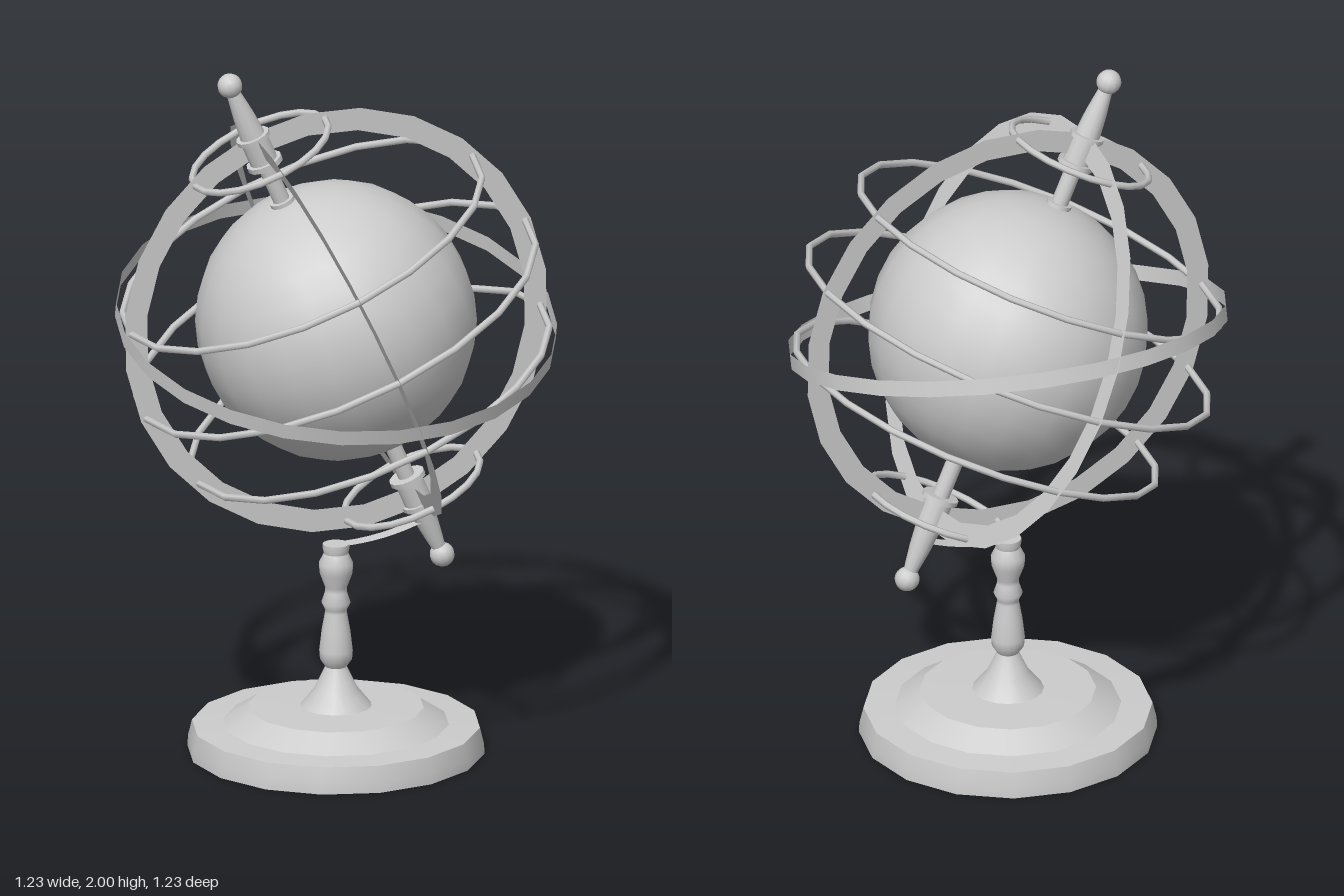
import * as THREE from 'three';

const CENTRE_Y = 1.253;
const TILT = THREE.MathUtils.degToRad(23.4);

export function createModel() {
  const model = new THREE.Group();
  model.name = 'armillaryGlobe';
  const mat = new THREE.MeshStandardMaterial({ color: 0xcccccc, side: THREE.DoubleSide });

  const add = (parent, name, geometry) => {
    const mesh = new THREE.Mesh(geometry, mat);
    mesh.name = name;
    parent.add(mesh);
    return mesh;
  };

  // Turned profile; each run of points is smooth, with a sharp edge between runs
  const turned = (parent, name, runs, sides) => {
    const group = new THREE.Group();
    group.name = name;
    parent.add(group);
    for (const run of runs) {
      const points = run.map(([r, y]) => new THREE.Vector2(r, y));
      add(group, name + 'Section', new THREE.LatheGeometry(points, sides));
    }
    return group;
  };

  // Hollow stepped base
  turned(model, 'base', [
    [[0.415, 0], [0.413, 0.03], [0.402, 0.075]],
    [[0.402, 0.075], [0.315, 0.08]],
    [[0.315, 0.08], [0.245, 0.127]],
    [[0.245, 0.127], [0.1, 0.13]],
  ], 16);

  // Baluster stem
  turned(model, 'stem', [
    [[0.1, 0.13], [0.06, 0.18], [0.03, 0.243]],
    [[0.03, 0.243], [0.045, 0.265], [0.047, 0.29], [0.04, 0.35], [0.031, 0.4], [0.031, 0.41],
      [0.041, 0.43], [0.031, 0.46], [0.031, 0.475], [0.046, 0.515], [0.048, 0.545], [0.034, 0.573]],
    [[0.034, 0.573], [0.037, 0.585], [0.037, 0.6]],
    [[0.037, 0.6], [0, 0.6]],
  ], 16);

  // Everything above the stem shares one centre
  const sphereGroup = new THREE.Group();
  sphereGroup.name = 'rings';
  sphereGroup.position.y = CENTRE_Y;
  model.add(sphereGroup);

  // Curved strap from the stem to the lower end of the axis
  const strap = add(sphereGroup, 'supportStrap',
    new THREE.CylinderGeometry(0.655, 0.655, 0.045, 8, 1, true, 0, TILT));
  strap.rotation.x = Math.PI / 2;

  // Slanted band
  const band = add(sphereGroup, 'slantedBand',
    new THREE.CylinderGeometry(0.615, 0.615, 0.045, 24, 1, true));
  band.rotation.x = THREE.MathUtils.degToRad(15);

  // Tilted globe assembly, with its axis along local y
  const tilted = new THREE.Group();
  tilted.name = 'tiltedGlobe';
  tilted.rotation.z = TILT;
  sphereGroup.add(tilted);

  add(tilted, 'globe', new THREE.SphereGeometry(0.392, 20, 16));

  // Two flat meridian rings at right angles
  for (const turn of [0, Math.PI / 2]) {
    const ring = add(tilted, 'meridianRing', new THREE.RingGeometry(0.552, 0.617, 24));
    ring.rotation.y = turn;
  }

  // Wire parallels: height along the axis and radius
  const parallels = [
    ['polarRing', 0.555, 0.205], ['tropicRing', 0.247, 0.54], ['equatorRing', 0, 0.6],
    ['tropicRing', -0.247, 0.54], ['polarRing', -0.555, 0.205],
  ];
  for (const [name, y, radius] of parallels) {
    const ring = add(tilted, name, new THREE.TorusGeometry(radius, 0.01, 6, 20));
    ring.rotation.x = Math.PI / 2;
    ring.position.y = y;
  }

  // Spindle with collars, handle and ball at each pole
  for (const turn of [0, Math.PI]) {
    const pole = turned(tilted, 'spindle', [
      [[0.036, 0.37], [0.036, 0.4]],
      [[0.036, 0.4], [0.024, 0.4]],
      [[0.024, 0.4], [0.024, 0.515]],
      [[0.024, 0.515], [0.052, 0.515]],
      [[0.052, 0.515], [0.052, 0.53]],
      [[0.052, 0.53], [0.04, 0.53]],
      [[0.04, 0.53], [0.04, 0.6]],
      [[0.04, 0.6], [0.049, 0.6]],
      [[0.049, 0.6], [0.049, 0.613]],
      [[0.049, 0.613], [0.036, 0.613]],
      [[0.036, 0.613], [0.03, 0.68], [0.02, 0.75]],
    ], 12);
    pole.rotation.z = turn;
    add(pole, 'finialBall', new THREE.SphereGeometry(0.035, 12, 10)).position.y = 0.777;
  }

  return model;
}
